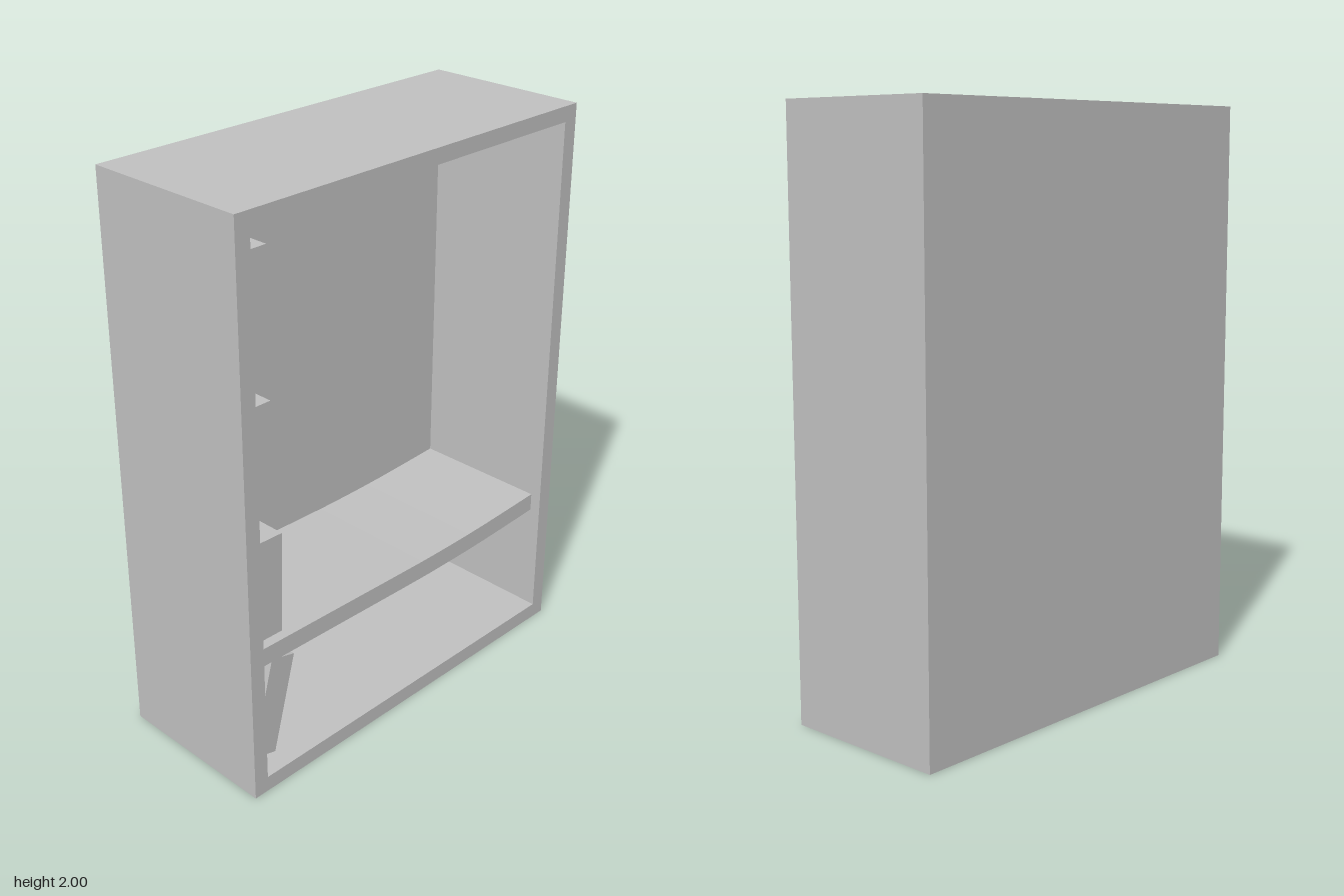
import * as THREE from 'three';

export function createModel() {
  const model = new THREE.Group();
  model.name = 'bookcase';
  const grey = new THREE.MeshStandardMaterial({ color: 0xc0c0c0 });
  grey.name = 'plain grey';

  const add = (name, geometry, x = 0, y = 0, z = 0) => {
    const mesh = new THREE.Mesh(geometry, grey);
    mesh.name = name;
    mesh.position.set(x, y, z);
    model.add(mesh);
    return mesh;
  };
  const rectangle = (Type, x, y0, y1) => new Type([
    new THREE.Vector2(-x, y0), new THREE.Vector2(x, y0),
    new THREE.Vector2(x, y1), new THREE.Vector2(-x, y1),
  ]);

  // Case: an open frame closed by a back panel
  const backZ = -0.243;
  const frame = rectangle(THREE.Shape, 0.745, 0, 2);
  frame.holes.push(rectangle(THREE.Path, 0.69, 0.056, 1.947));
  add('caseFrame', new THREE.ExtrudeGeometry(frame, { depth: 0.3 - backZ, bevelEnabled: false }), 0, 0, backZ);
  add('backPanel', new THREE.BoxGeometry(1.49, 2, 0.3 + backZ), 0, 1, (backZ - 0.3) / 2);

  // Sagging shelf, lowest a little towards the model's left
  const sag = new THREE.SplineCurve([
    [-0.69, 0.528], [-0.3, 0.519], [0, 0.512], [0.17, 0.51], [0.4, 0.514], [0.69, 0.528],
  ].map(([x, y]) => new THREE.Vector2(x, y)));
  const top = sag.getPoints(16);
  const bottom = top.map((p) => new THREE.Vector2(p.x, p.y - 0.066)).reverse();
  const shelf = new THREE.Shape([...bottom.reverse(), ...top.reverse()]);
  add('saggingShelf', new THREE.ExtrudeGeometry(shelf, { depth: 0.26 - backZ, bevelEnabled: false }), 0, 0, backZ);

  // Books: centre x, centre y, lean in degrees
  const books = [
    [-0.615, 1.667, 0],
    [-0.615, 1.177, 0],
    [-0.588, 0.707, -1.7],
    [-0.588, 0.246, -15],
  ];
  books.forEach(([x, y, lean], i) => {
    const book = add(`book${i + 1}`, new THREE.BoxGeometry(0.1, 0.363, 0.305), x, y, 0.072);
    book.rotation.z = THREE.MathUtils.degToRad(lean);
  });

  return model;
}
